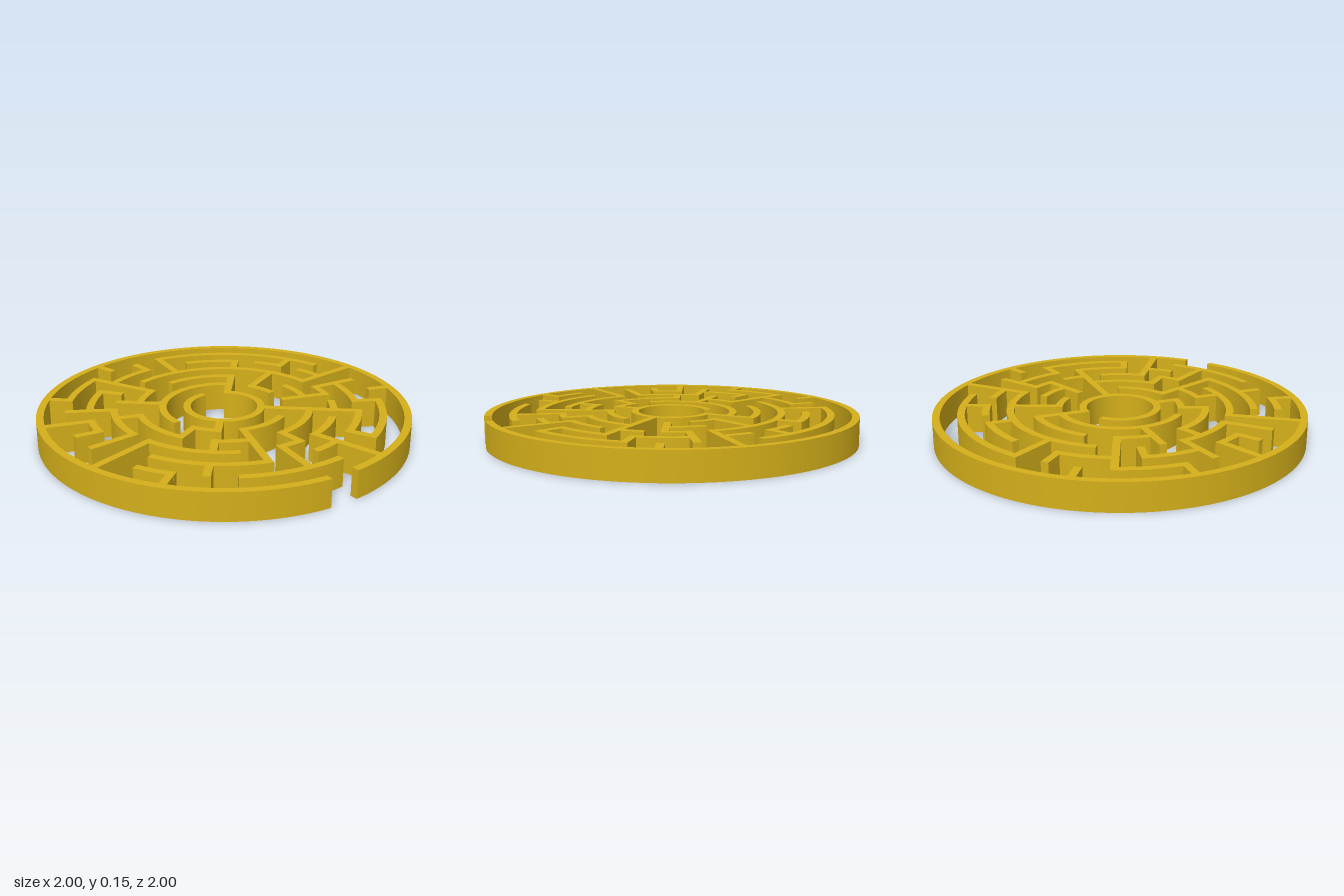
import * as THREE from 'three';
import { toCreasedNormals } from 'three/addons/utils/BufferGeometryUtils.js';

const HEIGHT = 0.15;
const HALF = 0.02; // half the wall thickness
const STEP = Math.PI / 16; // 32 directions, counted from +x towards +z

// Radius of each ring line, 0 (hub) to 6 (rim)
const radius = (ring) => 0.2 + 0.13 * ring;

// Curved walls per ring: [first direction, last direction]
const ARCS = [
  [[-4, 24]],
  [[6, 10], [12, 14], [16, 28], [30, 32]],
  [[0, 2], [4, 8], [10, 12], [14, 18], [20, 22], [24, 28]],
  [[1, 2], [3, 4], [5, 7], [8, 9], [11, 15], [16, 19], [23, 32]],
  [[1, 3], [4, 6], [7, 8], [10, 14], [17, 18], [19, 21], [22, 24], [26, 28], [29, 30], [31, 32]],
  [[3, 6], [8, 11], [13, 14], [20, 22], [25, 31]],
  [[9, 40]],
];

// Straight walls: [direction, inner ring, outer ring]
const SPOKES = [
  [0, 3, 6], [1, 3, 5], [2, 1, 3], [2, 5, 6], [3, 4, 5], [4, 0, 4],
  [6, 4, 5], [7, 3, 6], [8, 2, 3], [9, 3, 5], [10, 1, 4], [12, 0, 1],
  [12, 2, 3], [12, 4, 5], [13, 5, 6], [14, 1, 2], [15, 3, 6], [16, 3, 5],
  [17, 4, 5], [18, 2, 3], [18, 4, 6], [19, 3, 5], [20, 1, 3], [20, 5, 6],
  [21, 3, 4], [22, 2, 5], [23, 5, 6], [24, 4, 5], [25, 3, 5], [28, 0, 2],
  [28, 3, 4], [30, 1, 3], [30, 4, 5],
];

// Curved wall, lengthened by half a thickness at both ends to fill the corners
function arcGeometry(ring, from, to) {
  const r = radius(ring);
  const cap = Math.asin(HALF / r);
  const a = from * STEP - cap;
  const b = to * STEP + cap;
  const shape = new THREE.Shape();
  shape.absarc(0, 0, r + HALF, a, b, false);
  shape.absarc(0, 0, r - HALF, b, a, true);
  shape.closePath();
  const geometry = new THREE.ExtrudeGeometry(shape, {
    depth: HEIGHT, bevelEnabled: false, curveSegments: (to - from) * 4 + 2,
  });
  geometry.rotateX(Math.PI / 2).translate(0, HEIGHT, 0);
  return toCreasedNormals(geometry, 0.5);
}

export function createModel() {
  const model = new THREE.Group();
  model.name = 'circularMaze';
  const material = new THREE.MeshStandardMaterial({ color: 0xd4af1a });

  // Concentric curved walls
  ARCS.forEach((arcs, ring) => {
    const group = new THREE.Group();
    group.name = ring === 0 ? 'hubRing' : ring === 6 ? 'outerRim' : `ringWalls${ring}`;
    for (const [from, to] of arcs) {
      const wall = new THREE.Mesh(arcGeometry(ring, from, to), material);
      wall.name = 'curvedWall';
      group.add(wall);
    }
    model.add(group);
  });

  // Radial walls
  const spokes = new THREE.Group();
  spokes.name = 'radialWalls';
  for (const [direction, inner, outer] of SPOKES) {
    const angle = direction * STEP;
    const mid = (radius(inner) + radius(outer)) / 2;
    const length = radius(outer) - radius(inner);
    const wall = new THREE.Mesh(new THREE.BoxGeometry(length, HEIGHT, HALF * 2), material);
    wall.name = 'radialWall';
    wall.position.set(mid * Math.cos(angle), HEIGHT / 2, mid * Math.sin(angle));
    wall.rotation.y = -angle;
    spokes.add(wall);
  }
  model.add(spokes);
  return model;
}
